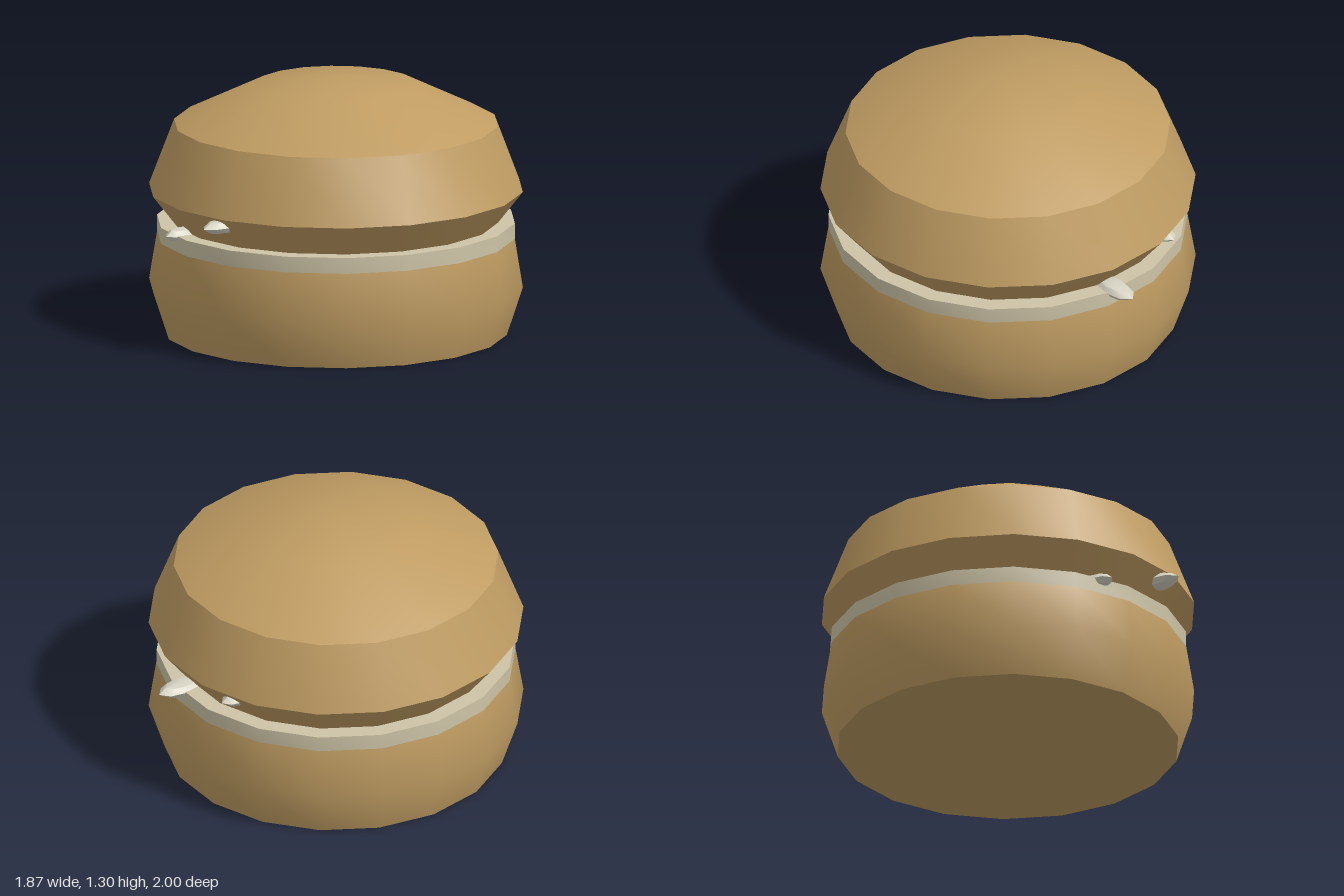
import * as THREE from 'three';
import { toCreasedNormals } from 'three/addons/utils/BufferGeometryUtils.js';

const SIDES = 18;
const bunColor = 0xbf9c62;
const bandColor = 0xcdc3a6;
const crumbColor = 0xd6d2c2;

function material(color) {
  return new THREE.MeshStandardMaterial({ color });
}

// Turned solid from [radius, height] pairs, listed from bottom to top
function turned(name, profile, color, normalsFrom) {
  const points = profile.map(([r, y]) => new THREE.Vector2(r, y));
  const geometry = new THREE.LatheGeometry(points, SIDES, Math.PI / 2);
  const mesh = new THREE.Mesh(toCreasedNormals(geometry, 0.6), material(color));
  mesh.name = name;
  return mesh;
}

export function createModel() {
  const model = new THREE.Group();
  model.name = 'bun';

  // Lower half, with a pale cut band closing its top
  model.add(turned('lowerBun', [[0, 0], [0.855, 0], [0.935, 0.245], [0.895, 0.49]], bunColor));
  model.add(turned('paleBand', [[0.895, 0.49], [0.895, 0.57], [0, 0.57]], bandColor));

  // Domed upper half, tapering in underneath
  model.add(turned('upperBun', [
    [0, 0.57], [0.81, 0.57], [0.935, 0.73], [0.81, 1.06], [0.4, 1.26], [0, 1.3],
  ], bunColor));

  // Small faceted crumbs poking out of the gap: centre, then half sizes
  const crumbs = [
    [[0.1, 0.685, 0.86], [0.065, 0.037, 0.14]],
    [[-0.29, 0.567, 0.78], [0.057, 0.036, 0.107]],
    [[0.1, 0.565, -0.86], [0.065, 0.037, 0.14]],
    [[-0.29, 0.68, -0.78], [0.057, 0.034, 0.11]],
  ];
  const crumbMaterial = material(crumbColor);
  crumbs.forEach(([position, size], i) => {
    const geometry = new THREE.SphereGeometry(1, 8, 4).scale(...size);
    const crumb = new THREE.Mesh(toCreasedNormals(geometry, 0.6), crumbMaterial);
    crumb.position.set(...position);
    crumb.name = `crumb${i + 1}`;
    model.add(crumb);
  });

  return model;
}
